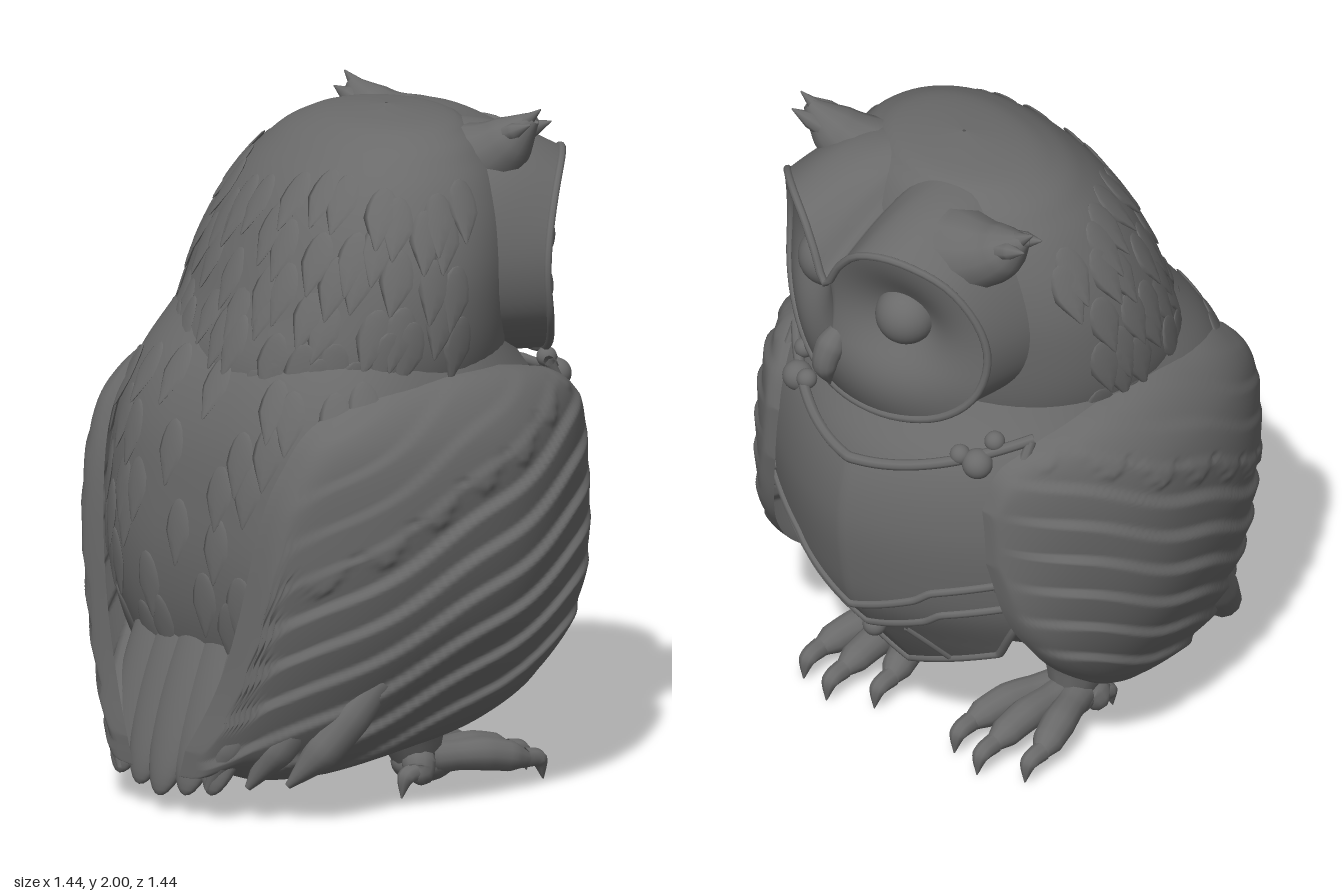
import * as THREE from 'three';
import { mergeVertices, mergeGeometries } from 'three/addons/utils/BufferGeometryUtils.js';

const V = (x, y, z) => new THREE.Vector3(x, y, z);
const { lerp, smoothstep, clamp } = THREE.MathUtils;
const stone = new THREE.MeshStandardMaterial({ color: 0x6a6a6a, side: THREE.DoubleSide });
stone.name = 'grey stone';

function add(parent, name, geometry) {
  const mesh = new THREE.Mesh(geometry, stone);
  mesh.name = name;
  parent.add(mesh);
  return mesh;
}

// Surface from a function of u, v in 0..1
function grid(nu, nv, f) {
  const pos = [], index = [];
  for (let i = 0; i <= nu; i++)
    for (let j = 0; j <= nv; j++) pos.push(...f(i / nu, j / nv).toArray());
  for (let i = 0; i < nu; i++)
    for (let j = 0; j < nv; j++) {
      const a = i * (nv + 1) + j, b = a + nv + 1;
      index.push(a, a + 1, b, b, a + 1, b + 1);
    }
  const g = new THREE.BufferGeometry();
  g.setAttribute('position', new THREE.Float32BufferAttribute(pos, 3));
  g.setIndex(index);
  const welded = mergeVertices(g, 1e-5);
  welded.computeVertexNormals();
  return welded;
}

// Smooth lookup in rows of [key, values...]
function lookup(rows) {
  const n = rows[0].length - 1;
  const c = new THREE.CubicInterpolant(rows.map(r => r[0]), rows.flatMap(r => r.slice(1)), n, new Float32Array(n));
  return k => c.evaluate(clamp(k, rows[0][0], rows[rows.length - 1][0]));
}

// Rounded hull from rows of [y, back x, front x, half width]; the back half may be squarer
function hull(rows, backPower) {
  const at = lookup(rows);
  return (a, y) => {
    const [xb, xf, rz] = at(y);
    const c = Math.cos(a), s = Math.sin(a), k = c < 0 ? 2 / backPower : 1;
    return V((xb + xf) / 2 + Math.sign(c) * Math.abs(c) ** k * (xf - xb) / 2, y, Math.sign(s) * Math.abs(s) ** k * rz);
  };
}
const hullMesh = (surf, y0, y1) => grid(56, 64, (u, v) =>
  surf(v === 1 ? 0 : v * Math.PI * 2, y0 + (y1 - y0) * (1 - Math.cos(u * Math.PI)) / 2));

// Tube along points whose radius follows a list
function taper(points, radii, sides = 12) {
  const n = 20, curve = new THREE.CatmullRomCurve3(points.map(p => V(...p)));
  const g = new THREE.TubeGeometry(curve, n, 1, sides), p = g.attributes.position;
  for (let i = 0; i <= n; i++) {
    const c = curve.getPointAt(i / n), t = i / n * (radii.length - 1), k = Math.min(Math.floor(t), radii.length - 2);
    const r = lerp(radii[k], radii[k + 1], t - k);
    for (let j = 0; j <= sides; j++) {
      const q = i * (sides + 1) + j, w = V().fromBufferAttribute(p, q).sub(c).multiplyScalar(r).add(c);
      p.setXYZ(q, w.x, w.y, w.z);
    }
  }
  g.deleteAttribute('uv');
  g.deleteAttribute('normal');
  const welded = mergeVertices(g, 1e-6);
  welded.computeVertexNormals();
  return welded;
}
const cord = (points, r, closed = false) =>
  new THREE.TubeGeometry(new THREE.CatmullRomCurve3(points, closed), 80, r, 8, closed);
const ball = (x, y, z, rx, ry = rx, rz = rx) => new THREE.SphereGeometry(1, 28, 20).scale(rx, ry, rz).translate(x, y, z);

// Rows of slim pointed feathers lying almost flat on a hull
function plumage(surf, y0, y1, rows, spread, count) {
  const vane = new THREE.SphereGeometry(1, 8, 8), p = vane.attributes.position;
  for (let i = 0; i < p.count; i++) p.setX(i, p.getX(i) * (1 - 0.75 * Math.max(0, p.getY(i))));
  vane.computeVertexNormals();
  const parts = [];
  for (let r = 0; r < rows; r++)
    for (let i = 0; i < count; i++) {
      const y = y0 + (y1 - y0) * r / (rows - 1) + 0.035 * Math.sin(i * 5.3 + r * 2.1);
      const a = Math.PI + spread * (2 * (i + (r % 2) / 2 + 0.25 * Math.sin(i * 3.7 + r)) / (count - 0.5) - 1);
      const at = surf(a, y), down = surf(a, y - 0.04).sub(at).normalize();
      const side = surf(a + 0.02, y).sub(at).normalize();
      const out = V().crossVectors(side, down).normalize();
      if (out.x * Math.cos(a) + out.z * Math.sin(a) < 0) out.negate();
      down.addScaledVector(out, 0.06).normalize();
      side.crossVectors(down, out).normalize();
      out.crossVectors(side, down);
      const m = new THREE.Matrix4().makeBasis(side, down, out).setPosition(at);
      parts.push(vane.clone().scale(0.05, 0.1, 0.009).applyMatrix4(m));
    }
  return mergeGeometries(parts);
}

export function createModel() {
  const owl = new THREE.Group();
  owl.name = 'armouredOwl';

  // Body
  const body = hull([[0.19, -0.2, 0.04, 0.1], [0.22, -0.3, 0.12, 0.25], [0.28, -0.42, 0.22, 0.36], [0.38, -0.52, 0.35, 0.44],
    [0.5, -0.57, 0.45, 0.51], [0.7, -0.6, 0.59, 0.58], [0.9, -0.59, 0.65, 0.6], [1.1, -0.555, 0.61, 0.59],
    [1.25, -0.49, 0.5, 0.54], [1.4, -0.38, 0.4, 0.47]], 3);
  add(owl, 'body', hullMesh(body, 0.19, 1.4));
  add(owl, 'backFeathers', plumage(body, 1.2, 0.5, 6, 1, 9));

  // Head, turned a little to its left
  const head = new THREE.Group();
  head.name = 'head';
  head.rotation.y = -0.21;
  owl.add(head);
  const skull = hull([[1.12, -0.48, 0.42, 0.47], [1.3, -0.46, 0.46, 0.53], [1.45, -0.4, 0.47, 0.54], [1.6, -0.34, 0.48, 0.52],
    [1.75, -0.26, 0.47, 0.46], [1.85, -0.17, 0.43, 0.39], [1.92, -0.07, 0.37, 0.3], [1.955, 0.03, 0.3, 0.18], [1.97, 0.15, 0.16, 0.005]], 2.2);
  add(head, 'skull', hullMesh(skull, 1.12, 1.97));
  add(head, 'headFeathers', plumage(skull, 1.74, 1.22, 6, 1.7, 15));

  // Heart-shaped face dish
  const half = [[0.06, 1.74], [0.13, 1.81], [0.24, 1.835], [0.36, 1.79], [0.435, 1.68], [0.465, 1.54], [0.435, 1.4], [0.34, 1.3], [0.18, 1.24]];
  const faceX = (z, y) => 0.66 - 1.08 * z * z - 1.5 * Math.max(0, 1.45 - y) ** 2;
  const outline = new THREE.CatmullRomCurve3(
    [[0, 1.65], ...half, [0, 1.225], ...half.map(([z, y]) => [-z, y]).reverse()].map(([z, y]) => V(0, y, z)), true);
  const rim = t => {
    const e = outline.getPoint(t % 1);
    return e.setX(faceX(e.z, e.y));
  };
  add(head, 'faceDish', grid(28, 96, (u, v) => {
    const e = rim(v), z = e.z * u, y = 1.45 + (e.y - 1.45) * u;
    const eye = Math.exp(-((Math.abs(z) - 0.2) ** 2 + (y - 1.575) ** 2) / 0.025);
    return V(faceX(z, y) - 0.115 * eye - 0.012 * (1 - u * u), y, z);
  }));
  // Brow and cheeks joining the dish to the skull
  add(head, 'brow', grid(12, 96, (u, v) => {
    const e = rim(v), w = smoothstep(e.y, 1.45, 1.72) * (1 - smoothstep(Math.abs(e.z), 0.2, 0.5));
    const to = V(lerp(e.x - 0.24, 0.2, w), lerp(1.53 + (e.y - 1.53) * 0.95, 1.955 - 0.9 * e.z * e.z, w), e.z * lerp(0.98, 1.05, w));
    const p = e.clone().lerp(to, u);
    p.y += 0.045 * w * Math.sin(u * Math.PI);
    return p;
  }));
  add(head, 'faceRim', cord(Array.from({ length: 64 }, (_, i) => rim(i / 64)), 0.012, true));
  for (const s of [1, -1]) add(head, 'eye', ball(0.505, 1.58, s * 0.183, 0.09));
  add(head, 'beak', taper([[0.59, 1.48, 0], [0.635, 1.43, 0], [0.66, 1.37, 0], [0.64, 1.285, 0]], [0.02, 0.045, 0.036, 0.001]));

  // Ear tufts with ragged ends
  for (const [root, tip] of [[V(0.24, 1.8, 0.25), V(0.34, 1.97, 0.46)], [V(0.42, 1.79, -0.19), V(0.4, 1.92, -0.41)]]) {
    const mid = root.clone().lerp(tip, 0.5).add(V(0, -0.02, 0));
    add(owl, 'earTuft', taper([root.toArray(), mid.toArray(), tip.toArray()], [0.14, 0.105, 0.075, 0.02]));
    for (let i = -1; i <= 1; i++) {
      const end = tip.clone().add(V(i * 0.04, i ? -0.01 : 0.03, Math.sign(tip.z) * 0.03));
      const from = tip.clone().lerp(root, 0.35).add(V(i * 0.035, 0, 0));
      add(owl, 'tuftTip', taper([from.toArray(), end.toArray()], [0.03, 0.025, 0.002], 8));
    }
  }

  // Wings: curved shells with long diagonal feathers under a layer of coverts
  const wingEdge = lookup([[-0.7, 0.2, 0.12], [-0.66, 0.42, 0.13], [-0.61, 0.85, 0.13], [-0.54, 1.07, 0.11], [-0.4, 1.21, 0.11],
    [-0.15, 1.275, 0.17], [0.1, 1.28, 0.25], [0.3, 1.25, 0.37], [0.45, 1.2, 0.53], [0.53, 1.13, 0.7], [0.56, 1.04, 0.86]]);
  const wingWidth = lookup([[0, 0.4], [0.1, 0.45], [0.2, 0.53], [0.4, 0.63], [0.6, 0.69], [0.85, 0.705], [1.1, 0.665], [1.3, 0.56]]);
  for (const s of [1, -1]) {
    add(owl, s > 0 ? 'leftWing' : 'rightWing', grid(84, 150, (u, v) => {
      const x = 0.56 - 1.26 * (1 - Math.cos(u * Math.PI)) / 2;
      const [top, low] = wingEdge(x);
      const y = lerp(top, low, v);
      const dx = (x - 0.05) / (x > 0.05 ? 0.67 : 0.82);
      const edge = Math.sqrt(1 - Math.abs(2 * v - 1) ** 12) * Math.sqrt(1 - Math.abs(2 * u - 1) ** 20);
      const slant = y - 0.5 * x + 0.12 * x * x + 0.01 * Math.sin(x * 14);
      const r = (slant * 8.5 + 20) % 1;
      const strand = r < 0.8 ? r / 0.8 : (1 - r) / 0.2;
      const covert = smoothstep(slant, 1.0 + 0.04 * Math.sin(x * 40), 1.03 + 0.04 * Math.sin(x * 40));
      const relief = (0.02 * strand * (1 - 0.6 * covert) + 0.016 * covert) * smoothstep(u, 0.02, 0.25);
      const z = wingWidth(y)[0] * Math.sqrt(1 - dx * dx) - lerp(0.05, 0.08, u) * (1 - edge) + relief * edge - 0.008;
      return V(x, y, s * z);
    }));
    // Ragged flight feather ends below the wing
    for (let i = 0; i < 3; i++)
      add(owl, 'flightFeather', taper([[-0.3 - i * 0.1, 0.42, s * (0.52 - i * 0.1)], [-0.44 - i * 0.09, 0.22, s * (0.44 - i * 0.1)],
        [-0.52 - i * 0.075, 0.11 - i * 0.01, s * (0.37 - i * 0.09)]], [0.05, 0.06, 0.055, 0.01]));
  }

  // Tail fan
  for (let i = -2; i <= 2; i++) {
    const feather = add(owl, 'tailFeather', ball(0, 0, 0, 0.05, 0.33, 0.1));
    feather.position.set(-0.575 + 0.012 * Math.abs(i), 0.355 + 0.015 * Math.abs(i), i * 0.1);
    feather.rotation.z = -0.36;
  }

  // Armour: keeled breastplate with two lower bands
  const keel = lookup([[0.25, 0.43], [0.3, 0.47], [0.45, 0.58], [0.6, 0.675], [0.75, 0.715], [0.95, 0.73], [1.13, 0.69], [1.26, 0.61]]);
  const plateAt = (z, y, out = 0) => V(keel(y)[0] - 0.2 * Math.abs(z) - 0.67 * z * z + out, y, z);
  const collar = z => 1.13 + 0.55 * z * z;
  const waist = z => 0.61 + 0.1 * Math.min(1, Math.abs(z) / 0.25) ** 1.2 + 0.3 * Math.max(0, Math.abs(z) - 0.2);
  const belt = z => waist(z) - 0.1;
  const hem = z => 0.28 + 0.45 * Math.abs(z) + 1.2 * Math.max(0, Math.abs(z) - 0.32);
  const plate = (name, top, low, w, out) => {
    add(owl, name, grid(24, 48, (u, v) => {
      const z = w * (2 * v - 1);
      return plateAt(z, lerp(top(z), low(z), u), out);
    }));
    const edge = (f, r) => cord(Array.from({ length: 41 }, (_, i) => {
      const z = w * (i / 20 - 1);
      return plateAt(z, f(z), out);
    }), r);
    add(owl, name + 'Edge', edge(low, 0.013));
    if (name === 'breastplate') add(owl, 'collarEdge', edge(top, 0.016));
  };
  plate('breastplate', collar, waist, 0.45, 0.01);
  plate('waistBand', z => waist(z) + 0.03, belt, 0.45, -0.008);
  plate('skirtPlate', z => belt(z) + 0.03, hem, 0.42, -0.025);
  add(owl, 'skirtBoss', ball(...plateAt(0, 0.48, -0.015).toArray(), 0.035));
  for (const s of [1, -1]) {
    add(owl, 'armholeEdge', cord([1.235, 1.1, 0.95, 0.8, 0.72].map(y => plateAt(s * 0.445, y, 0.01)), 0.016));
    add(owl, 'skirtSeam', cord([0.5, 0.44, 0.36].map((y, i) => plateAt(s * (0.1 + 0.03 * i), y, -0.025)), 0.01));
    for (const [z, y, r] of [[0.34, 1.17, 0.045], [0.29, 1.19, 0.03], [0.36, 1.23, 0.03], [0.43, 0.82, 0.024], [0.42, 0.76, 0.02]])
      add(owl, 'rivet', ball(...plateAt(s * z, y, 0.005).toArray(), r));
  }

  // Feathered thighs, legs and feet
  for (const s of [1, -1]) {
    const foot = new THREE.Group();
    foot.name = s > 0 ? 'leftLeg' : 'rightLeg';
    foot.position.z = s * 0.285;
    owl.add(foot);
    add(foot, 'leg', taper([[0, 0.42, -s * 0.03], [0.01, 0.26, 0], [0.05, 0.07, 0]], [0.2, 0.17, 0.1, 0.06]));
    add(foot, 'sole', ball(0.07, 0.085, 0, 0.1, 0.06, 0.085));
    for (const [x, z] of [[0.38, 0.13], [0.42, 0.01], [0.36, -0.12], [-0.03, s * 0.06]]) {
      const d = Math.sign(x);
      add(foot, 'toe', taper([[0.06, 0.1, z * 0.3], [0.06 + (x - 0.06) * 0.5, 0.1, z * 0.75], [x - d * 0.03, 0.07, z], [x, 0.06, z]],
        [0.05, 0.045, 0.05, 0.045, 0.01]));
      add(foot, 'claw', taper([[x - d * 0.04, 0.075, z], [x + d * 0.015, 0.065, z], [x + d * 0.035, 0.003, z]], [0.03, 0.026, 0.002], 8));
    }
  }
  return owl;
}
